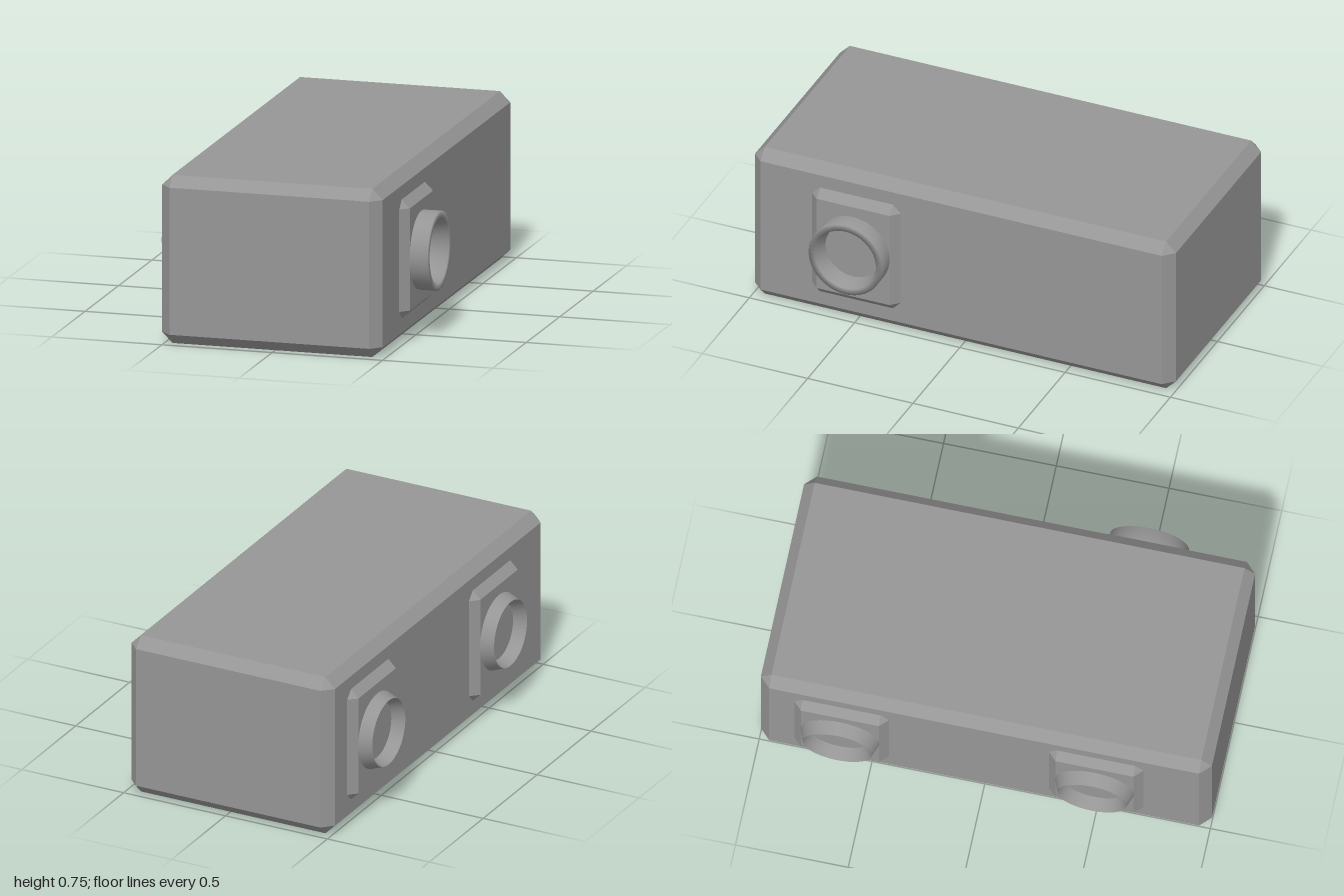
import * as THREE from 'three';
import { ConvexGeometry } from 'three/addons/geometries/ConvexGeometry.js';

const material = new THREE.MeshStandardMaterial({ color: 0x969696 });

function addMesh(parent, name, geometry, x, y, z) {
  const mesh = new THREE.Mesh(geometry, material);
  mesh.name = name;
  mesh.position.set(x, y, z);
  parent.add(mesh);
}

// Box with every edge and corner cut by a flat chamfer c
function chamferBox(w, h, d, c) {
  const half = [w / 2, h / 2, d / 2];
  const points = [];
  for (const sx of [-1, 1]) for (const sy of [-1, 1]) for (const sz of [-1, 1])
    for (let axis = 0; axis < 3; axis++) {
      const v = half.map((s, i) => (i === axis ? s : s - c));
      points.push(new THREE.Vector3(sx * v[0], sy * v[1], sz * v[2]));
    }
  return new ConvexGeometry(points);
}

// Ring of revolution, profile given as [radius, height] pairs, opening along +x or -x
function ringGeometry(profile, side) {
  const geometry = new THREE.LatheGeometry(profile.map(p => new THREE.Vector2(...p)), 48);
  return geometry.rotateZ(-side * Math.PI / 2);
}

// Mounting plate sunk into the body wall, with a ring standing on it
function addPort(parent, name, side, wallX, z, profile) {
  const port = new THREE.Group();
  port.name = name;
  port.position.set(wallX, 0.38, z);
  addMesh(port, 'mountingPlate', chamferBox(0.15, 0.532, 0.422, 0.038), side * (0.037 - 0.075), -0.004, 0);
  addMesh(port, 'ring', ringGeometry(profile, side), side * 0.036, 0.001, 0);
  parent.add(port);
}

export function createModel() {
  const model = new THREE.Group();
  model.name = 'boxWithPorts';

  // Main body, slightly off centre because the ports differ in depth
  addMesh(model, 'body', chamferBox(1, 0.75, 2, 0.047), -0.013, 0.375, 0);

  // Straight ring with a soft lip on the left, tapered rings on the right
  // (the doubled rim point keeps the taper's rim sharp)
  const straightRing = [[0.174, 0], [0.175, 0.082], [0.145, 0.082], [0.13, 0]];
  const taperedRing = [[0.175, 0], [0.153, 0.058], [0.153, 0.058], [0.13, 0]];
  addPort(model, 'leftPort', 1, 0.487, 0.497, straightRing);
  addPort(model, 'rightFrontPort', -1, -0.513, 0.497, taperedRing);
  addPort(model, 'rightBackPort', -1, -0.513, -0.632, taperedRing);

  return model;
}
